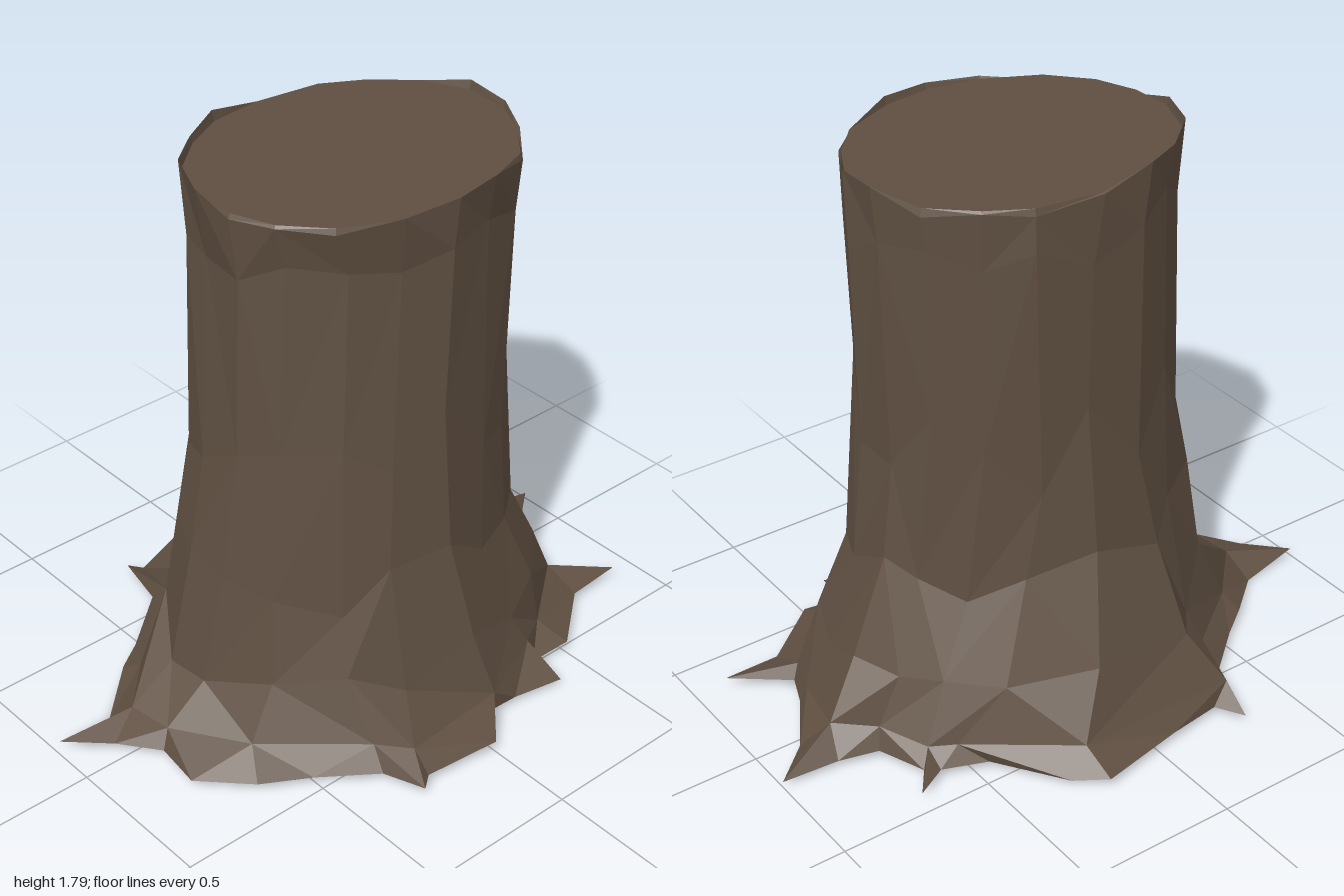
import * as THREE from 'three';

// Ground outline of the roots as x, z pairs, from the back round past +x
const OUTLINE = [
  -0.16, -1.0, -0.06, -0.88, 0.12, -0.77, 0.22, -0.73, 0.35, -0.9, 0.36, -0.71,
  0.52, -0.51, 0.51, -0.37, 0.63, -0.37, 0.6, -0.2, 0.6, -0.07, 0.72, 0,
  0.69, 0.25, 0.73, 0.3, 0.6, 0.35, 0.47, 0.51, 0.39, 0.66, 0.24, 0.79,
  0.08, 0.77, -0.03, 0.87, -0.15, 0.99, -0.17, 0.79, -0.31, 0.63, -0.38, 0.53,
  -0.54, 0.34, -0.73, 0.3, -0.64, 0.25, -0.67, 0.07, -0.73, -0.22, -0.66, -0.31,
  -0.45, -0.46, -0.4, -0.6, -0.45, -0.7, -0.37, -0.64, -0.22, -0.7, -0.18, -0.82,
];

// Trunk sections: y, x min, x max, z min, z max, root influence, y jitter
const SECTIONS = [
  [0.09, -0.66, 0.66, -0.82, 0.79, 1, 0.02],
  [0.26, -0.55, 0.57, -0.7, 0.64, 0.6, 0.06],
  [0.56, -0.42, 0.48, -0.575, 0.555, 0.25, 0.08],
  [1.0, -0.39, 0.45, -0.53, 0.49, 0.1, 0.2],
  [1.6, -0.388, 0.44, -0.535, 0.455, 0, 0.07],
  [1.765, -0.395, 0.46, -0.545, 0.49, 0, 0.03],
];
const COLS = 18;

function makeRandom(seed) {
  return () => {
    seed = (seed * 16807) % 2147483647;
    return (seed / 2147483647) * 2 - 1;
  };
}

function addSurface(group, name, triangles, material) {
  const geometry = new THREE.BufferGeometry().setFromPoints(triangles);
  geometry.computeVertexNormals();
  const mesh = new THREE.Mesh(geometry, material);
  mesh.name = name;
  group.add(mesh);
}

// Joins a ring to the ground outline, which has two points to every ring point
function joinToGround(tips, ring) {
  const triangles = [];
  for (let i = 0; i < COLS; i++) {
    const a = ring[i], b = ring[(i + 1) % COLS];
    const p = tips[2 * i], q = tips[2 * i + 1], s = tips[(2 * i + 2) % tips.length];
    triangles.push(p, a, q, q, a, b, q, b, s);
  }
  return triangles;
}

// Joins two rings of equal length, turning the facet diagonals now and then
function joinRings(lower, upper, rand) {
  const triangles = [];
  for (let i = 0; i < COLS; i++) {
    const j = (i + 1) % COLS;
    const ll = lower[j], lr = lower[i], ur = upper[i], ul = upper[j];
    if (rand() > 0) triangles.push(ll, lr, ur, ll, ur, ul);
    else triangles.push(ll, lr, ul, lr, ur, ul);
  }
  return triangles;
}

export function createModel() {
  const group = new THREE.Group();
  group.name = 'treeStump';
  const material = new THREE.MeshStandardMaterial({
    color: 0x5f4f41, flatShading: true, side: THREE.DoubleSide,
  });
  const rand = makeRandom(4711);

  // Root tips on the ground
  const tips = [];
  for (let i = 0; i < OUTLINE.length; i += 2) {
    tips.push(new THREE.Vector3(OUTLINE[i], 0.03 + rand() * 0.01, OUTLINE[i + 1]));
  }
  tips[21].y = 0;

  // Each column follows its root low down and evens out higher up
  const reachOf = (p) => Math.hypot(p.x / 0.66, p.z / 0.82);
  const columns = [];
  for (let i = 0; i < COLS; i++) {
    const p = tips[2 * i];
    const even = -0.16 + (i / COLS) * Math.PI * 2;
    let angle = Math.atan2(p.x, -p.z);
    if (angle < even - Math.PI) angle += Math.PI * 2;
    const near = [tips.at(2 * i - 1), p, tips[2 * i + 1]];
    const reach = THREE.MathUtils.clamp(Math.min(...near.map(reachOf)) - 0.03, 0.82, 1);
    const ridge = (i % 2 ? 0.015 : -0.01) + rand() * 0.015;
    columns.push({ even, angle, reach, ridge });
  }
  const rings = SECTIONS.map(([y, x0, x1, z0, z1, root, wobble], r) =>
    columns.map(({ even, angle, reach, ridge }) => {
      const top = r === SECTIONS.length - 1;
      const a = THREE.MathUtils.lerp(even, angle, root) + rand() * 0.04;
      const k = 1 + (reach - 1) * root + (top ? rand() * 0.015 : ridge + rand() * 0.018);
      return new THREE.Vector3(
        (x0 + x1) / 2 + ((x1 - x0) / 2) * k * Math.sin(a),
        y + rand() * wobble,
        (z0 + z1) / 2 - ((z1 - z0) / 2) * k * Math.cos(a));
    }));

  // Flared roots and bark, open underneath
  addSurface(group, 'roots', joinToGround(tips, rings[0]), material);
  const bark = rings.slice(1).flatMap((ring, r) => joinRings(rings[r], ring, rand));
  addSurface(group, 'bark', bark, material);

  // Level cut just inside the ragged rim
  const rim = rings[rings.length - 1];
  const middle = new THREE.Vector3(0.03, 1.76, -0.03);
  const level = rim.map((p) => p.clone().lerp(middle, 0.015).setY(1.76));
  const cut = joinRings(rim, level, rand);
  level.forEach((p, i) => cut.push(middle, level[(i + 1) % COLS], p));
  addSurface(group, 'cutTop', cut, material);

  return group;
}
